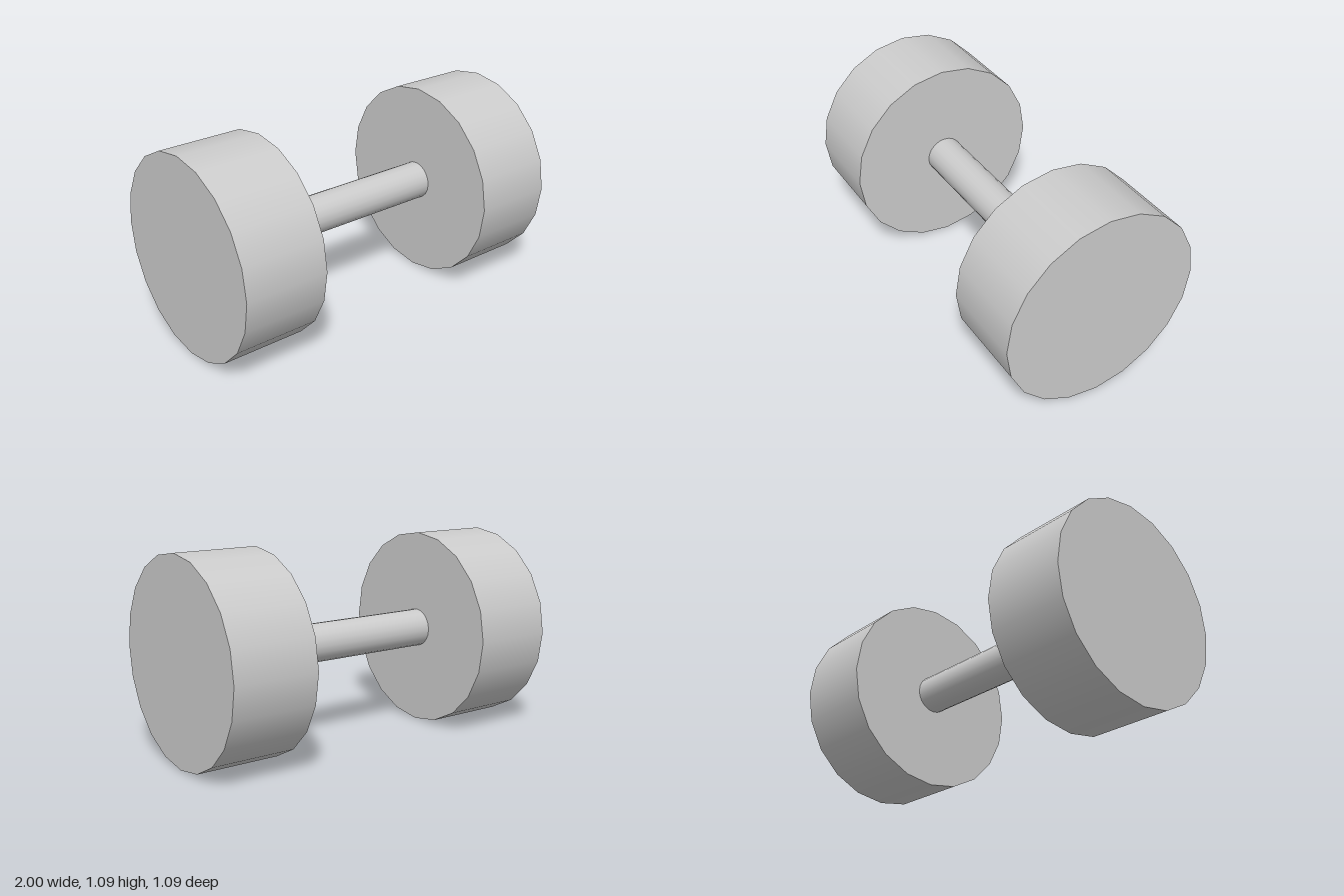
import * as THREE from 'three';

const SIDES = 20;
const RADIUS = 0.546;      // weight radius, also the axis height
const INNER = 0.537;       // inner face of each weight
const OUTER = 1;

export function createModel() {
  const group = new THREE.Group();
  group.name = 'dumbbell';
  const material = new THREE.MeshStandardMaterial({ color: 0xcccccc });

  // Cylinder lying along x, centred on the dumbbell's axis
  const addCylinder = (name, radius, length, x) => {
    const geometry = new THREE.CylinderGeometry(radius, radius, length, SIDES);
    geometry.rotateZ(Math.PI / 2);
    const mesh = new THREE.Mesh(geometry, material);
    mesh.name = name;
    mesh.position.set(x, RADIUS, 0);
    group.add(mesh);
  };

  // Grip bar between the weights
  addCylinder('handle', 0.105, INNER * 2, 0);

  // Mirrored end weights
  for (const [name, side] of [['leftWeight', 1], ['rightWeight', -1]]) {
    addCylinder(name, RADIUS, OUTER - INNER, side * (INNER + OUTER) / 2);
  }

  return group;
}
